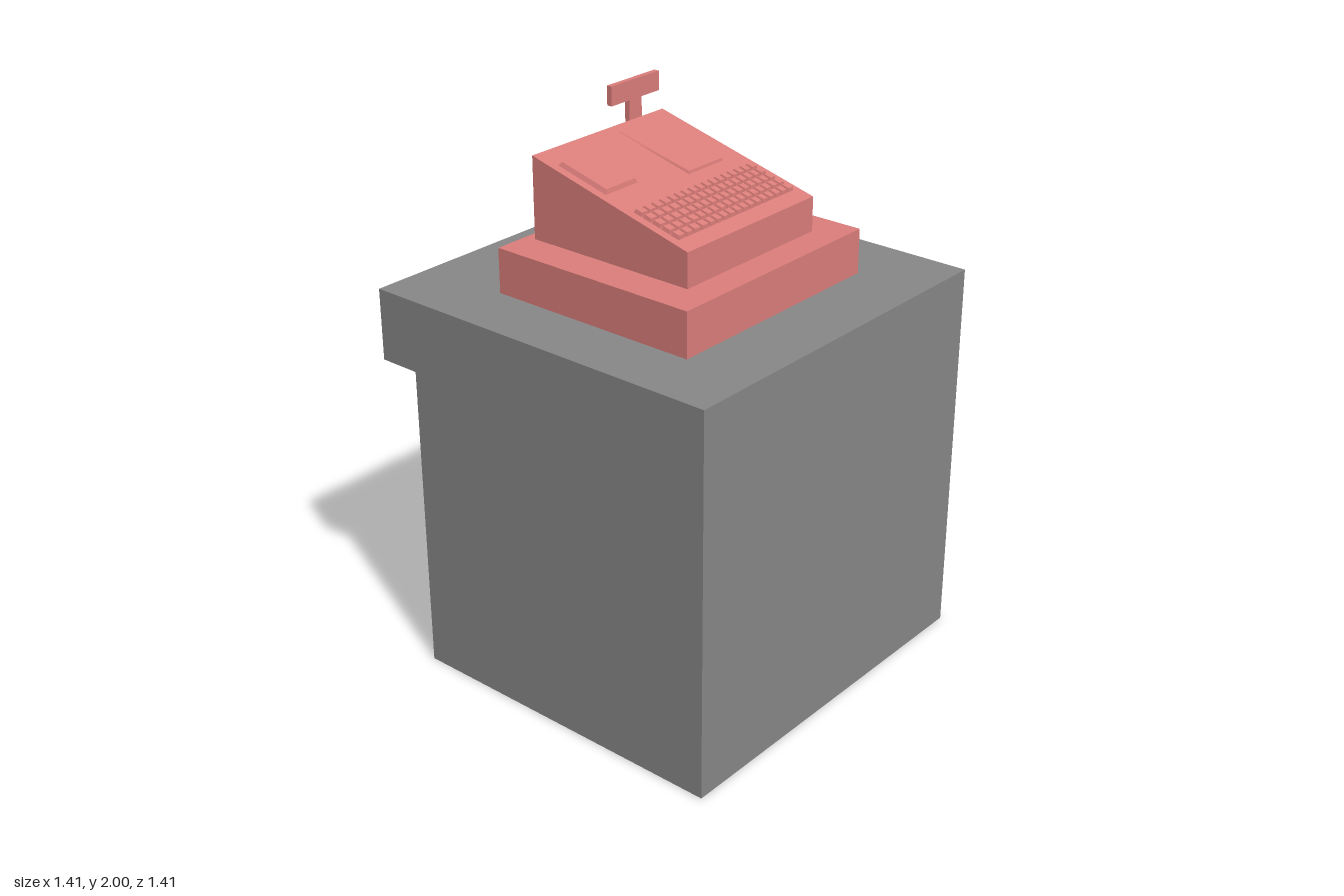
import * as THREE from 'three';

const grey = new THREE.MeshStandardMaterial({ color: 0x888888, flatShading: true, side: THREE.DoubleSide });
const red = new THREE.MeshStandardMaterial({ color: 0xdc7e7b, flatShading: true });

function add(parent, name, geometry, material, x = 0, y = 0, z = 0) {
  const mesh = new THREE.Mesh(geometry, material);
  mesh.name = name;
  mesh.position.set(x, y, z);
  parent.add(mesh);
  return mesh;
}

// Box given by its limits on each axis
function block(parent, name, [x0, x1], [y0, y1], [z0, z1]) {
  return add(parent, name, new THREE.BoxGeometry(x1 - x0, y1 - y0, z1 - z0), red,
    (x0 + x1) / 2, (y0 + y1) / 2, (z0 + z1) / 2);
}

// Side outline, points as [z, y], swept along x from x0 to x1
function sweep(points, x0, x1) {
  const shape = new THREE.Shape(points.map(([z, y]) => new THREE.Vector2(-z, y)));
  const geometry = new THREE.ExtrudeGeometry(shape, { depth: x1 - x0, bevelEnabled: false });
  return geometry.rotateY(Math.PI / 2).translate(x0, 0, 0);
}

// Leave out the triangles lying on the ground, so the underside is open
function openBottom(geometry) {
  const p = geometry.attributes.position;
  const kept = [];
  for (let i = 0; i < p.count; i += 3) {
    if (Math.max(p.getY(i), p.getY(i + 1), p.getY(i + 2)) < 1e-4) continue;
    for (let j = i; j < i + 3; j++) kept.push(p.getX(j), p.getY(j), p.getZ(j));
  }
  const open = new THREE.BufferGeometry();
  open.setAttribute('position', new THREE.Float32BufferAttribute(kept, 3));
  open.computeVertexNormals();
  return open;
}

// Raised plate with sloping edges; its top can be lower at the back
function plate(width, frontHeight, backHeight, depth, bevel) {
  const geometry = new THREE.BoxGeometry(width, 1, depth);
  const p = geometry.attributes.position;
  for (let i = 0; i < p.count; i++) {
    const x = p.getX(i), z = p.getZ(i);
    if (p.getY(i) > 0) {
      p.setXYZ(i, x - Math.sign(x) * bevel, z > 0 ? frontHeight : backHeight, z - Math.sign(z) * bevel);
    } else {
      p.setY(i, -0.004);
    }
  }
  geometry.computeVertexNormals();
  return geometry;
}

export function createModel() {
  const model = new THREE.Group();
  model.name = 'cashRegisterOnCounter';

  // Counter with a lip overhanging at the back
  const counter = [[0.704, 0], [0.704, 1.408], [-0.704, 1.408], [-0.704, 1.147], [-0.548, 1.147], [-0.548, 0]];
  add(model, 'counter', openBottom(sweep(counter, -0.704, 0.704)), grey);

  // Register drawer and wedge-shaped body
  const register = new THREE.Group();
  register.name = 'register';
  model.add(register);
  block(register, 'drawer', [-0.481, 0.426], [1.416, 1.577], [-0.355, 0.452]);
  const body = [[0.348, 1.581], [0.348, 1.704], [-0.31, 1.872], [-0.31, 1.581]];
  add(register, 'body', sweep(body, -0.354, 0.297), red);

  // Display on a pole behind the body
  block(register, 'displayBracket', [0.155, 0.219], [1.717, 1.795], [-0.337, -0.308]);
  block(register, 'displayPole', [0.155, 0.219], [1.717, 1.932], [-0.357, -0.337]);
  block(register, 'displayHead', [0.064, 0.31], [1.93, 2.0], [-0.357, -0.337]);

  // Sloping control panel
  const panel = new THREE.Group();
  panel.name = 'controlPanel';
  panel.position.y = 1.793;
  panel.rotation.x = Math.atan2(0.168, 0.658);
  register.add(panel);
  const slope = 1 / Math.cos(panel.rotation.x);

  add(panel, 'receiptCover', plate(0.157, 0.015, 0.015, 0.21 * slope, 0.009), red, -0.247, 0, -0.12 * slope);
  add(panel, 'screen', plate(0.184, 0.009, 0.003, 0.314 * slope, 0.006), red, 0.117, 0, -0.12 * slope);

  // Keyboard: a block of wide keys, then a block of narrower ones
  const keys = new THREE.Group();
  keys.name = 'keyboard';
  panel.add(keys);
  const rows = 5, pitchZ = 0.0382;
  for (const [startX, pitchX, columns] of [[-0.326, 0.0388, 4], [-0.171, 0.034, 13]]) {
    const key = plate(pitchX - 0.002, 0.013, 0.013, 0.036 * slope, 0.005);
    for (let r = 0; r < rows; r++) {
      for (let c = 0; c < columns; c++) {
        add(keys, 'key', key, red, startX + (c + 0.5) * pitchX, 0, (0.117 + r * pitchZ) * slope);
      }
    }
  }
  return model;
}
